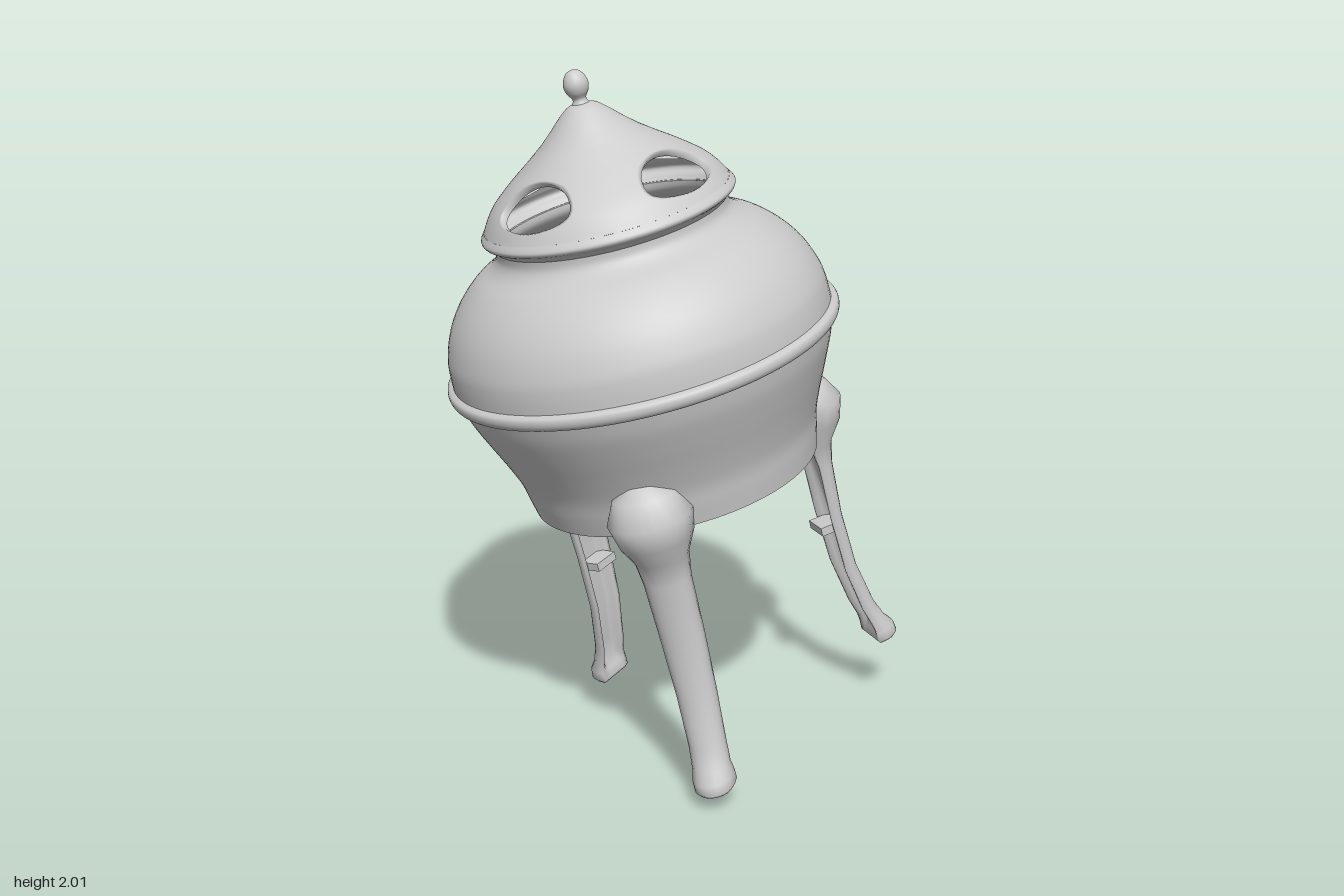
import * as THREE from 'three';
import { mergeVertices } from 'three/addons/utils/BufferGeometryUtils.js';

const material = new THREE.MeshStandardMaterial({ color: 0xcccccc, side: THREE.DoubleSide });

function addMesh(parent, name, geometry) {
  const mesh = new THREE.Mesh(geometry, material);
  mesh.name = name;
  parent.add(mesh);
  return mesh;
}

const spline = (pts) => new THREE.SplineCurve(pts.map(([r, y]) => new THREE.Vector2(r, y)));
const turned = (pts, n) => new THREE.LatheGeometry(spline(pts).getPoints(n), 96);

// Grid of rows x cols points joined into a smooth surface
function gridSurface(rows, cols, point) {
  const pos = [], index = [];
  for (let i = 0; i < rows; i++) for (let j = 0; j < cols; j++) pos.push(...point(i, j));
  for (let i = 0; i < rows - 1; i++) for (let j = 0; j < cols - 1; j++) {
    const a = i * cols + j, b = a + cols;
    index.push(a, b, a + 1, b, b + 1, a + 1);
  }
  const g = new THREE.BufferGeometry();
  g.setAttribute('position', new THREE.Float32BufferAttribute(pos, 3));
  g.setIndex(index);
  const merged = mergeVertices(g, 1e-4);
  merged.computeVertexNormals();
  return merged;
}

// Lid band: four quadrants, each a mesh of rings running from an oval hole to the quadrant's border
function piercedBand(curve) {
  const cols = 65, rings = 12, quadRows = rings + 2;
  const point = (start) => (i, j) => {
    const phi = (j % (cols - 1)) / (cols - 1) * Math.PI * 2;
    const c = Math.cos(phi), s = Math.sin(phi), m = Math.max(Math.abs(c), Math.abs(s));
    const k = Math.max(0, i - 1) / rings;
    const theta = start + THREE.MathUtils.lerp(0.43 * c, Math.PI / 4 * c / m, k);
    const v = THREE.MathUtils.lerp(0.43 + 0.26 * s, 0.5 + 0.5 * s / m, k);
    const p = curve.getPoint(THREE.MathUtils.clamp(v, 0, 1));
    const inset = i === 0 ? 0.014 : 0; // wall thickness at the hole edge
    return [(p.x - inset) * Math.cos(theta), p.y - inset, (p.x - inset) * Math.sin(theta)];
  };
  return [0, 1, 2, 3].map((q) =>
    gridSurface(quadRows, cols, point(THREE.MathUtils.degToRad(35.5 + 90 * q))));
}

// Leg: C-shaped sections [height, outer radius, half width, depth, groove]
const LEG = [
  [-0.255, 0.465, 0.035, 0.03, 0], [-0.285, 0.505, 0.09, 0.09, 0],
  [-0.35, 0.545, 0.12, 0.13, 0], [-0.42, 0.53, 0.105, 0.13, 0],
  [-0.48, 0.49, 0.077, 0.085, 0], [-0.55, 0.475, 0.068, 0.06, 0.02],
  [-0.72, 0.468, 0.064, 0.052, 0.03], [-0.9, 0.478, 0.058, 0.052, 0.03],
  [-1.05, 0.51, 0.054, 0.056, 0.03], [-1.11, 0.535, 0.055, 0.062, 0.02],
  [-1.14, 0.558, 0.061, 0.08, 0.005], [-1.168, 0.563, 0.061, 0.085, 0],
  [-1.178, 0.555, 0.052, 0.07, 0],
];

function legGeometry() {
  const half = 12, cols = half * 2 + 1, n = LEG.length;
  return gridSurface(n + 2, cols, (i, j) => {
    const [y, rOut, w, d, groove] = LEG[THREE.MathUtils.clamp(i - 1, 0, n - 1)];
    if (i === 0 || i === n + 1) return [0, y, rOut - d / 2]; // end caps
    const k = j % (cols - 1);
    if (k <= half) {
      const a = k / half * Math.PI;
      return [w * Math.cos(a), y, rOut - d + d * Math.pow(Math.sin(a), 0.75)];
    }
    // inner face, hollowed between two edge ribs
    const u = (k - half) / half;
    const x = -w + 2 * w * u;
    return [x * 0.97, y, rOut - d + groove * Math.min(1, Math.max(0, 5 * Math.sin(u * Math.PI) - 2))];
  });
}

export function createModel() {
  const model = new THREE.Group();
  model.name = 'footedBurner';

  // Whole vessel leans to one side around the waist rim
  const vessel = new THREE.Group();
  vessel.name = 'vessel';
  vessel.position.set(-0.11, 1.23, 0);
  vessel.quaternion.setFromUnitVectors(
    new THREE.Vector3(0, 1, 0), new THREE.Vector3(-0.23, 0.972, 0.052).normalize());
  model.add(vessel);

  // Bowl, waist rim and shoulder
  addMesh(vessel, 'base', new THREE.LatheGeometry(
    [[0, -0.405], [0.25, -0.41], [0.39, -0.418], [0.42, -0.41]].map(([r, y]) => new THREE.Vector2(r, y)), 96));
  addMesh(vessel, 'bowl', turned([
    [0.42, -0.41], [0.43, -0.36], [0.442, -0.3], [0.468, -0.23], [0.502, -0.15],
    [0.53, -0.08], [0.545, -0.025]], 32));
  addMesh(vessel, 'waistRim', turned([
    [0.54, -0.03], [0.56, -0.024], [0.569, -0.008], [0.566, 0.01], [0.548, 0.018]], 20));
  addMesh(vessel, 'shoulder', turned([
    [0.55, 0.015], [0.548, 0.06], [0.54, 0.105], [0.513, 0.17], [0.47, 0.23],
    [0.415, 0.28], [0.36, 0.312], [0.336, 0.338], [0.332, 0.365]], 36));

  // Lid with flared lip, pierced band and peaked cap
  const lid = new THREE.Group();
  lid.name = 'lid';
  vessel.add(lid);
  addMesh(lid, 'lidLip', turned([
    [0.33, 0.362], [0.345, 0.378], [0.358, 0.386], [0.362, 0.398], [0.35, 0.415]], 20));
  const band = spline([
    [0.35, 0.415], [0.328, 0.45], [0.3, 0.482], [0.245, 0.527], [0.19, 0.567], [0.14, 0.605]]);
  piercedBand(band).forEach((g) => addMesh(lid, 'piercedPanel', g));
  addMesh(lid, 'lidPeak', turned([
    [0.14, 0.605], [0.105, 0.636], [0.075, 0.665], [0.045, 0.69], [0.02, 0.7]], 20));
  addMesh(lid, 'finial', turned([
    [0.024, 0.698], [0.019, 0.712], [0.03, 0.73], [0.035, 0.75], [0.03, 0.77],
    [0.018, 0.786], [0, 0.792]], 28));

  // Three legs, each with a small tab on its inner side
  const legShape = legGeometry();
  [95, -25, -145].forEach((deg) => {
    const leg = new THREE.Group();
    leg.name = 'leg';
    leg.rotation.y = Math.PI / 2 - THREE.MathUtils.degToRad(deg);
    addMesh(leg, 'legShaft', legShape);
    const tab = addMesh(leg, 'legTab', new THREE.BoxGeometry(0.085, 0.026, 0.075));
    tab.position.set(0, -0.755, 0.42);
    vessel.add(leg);
  });

  return model;
}
